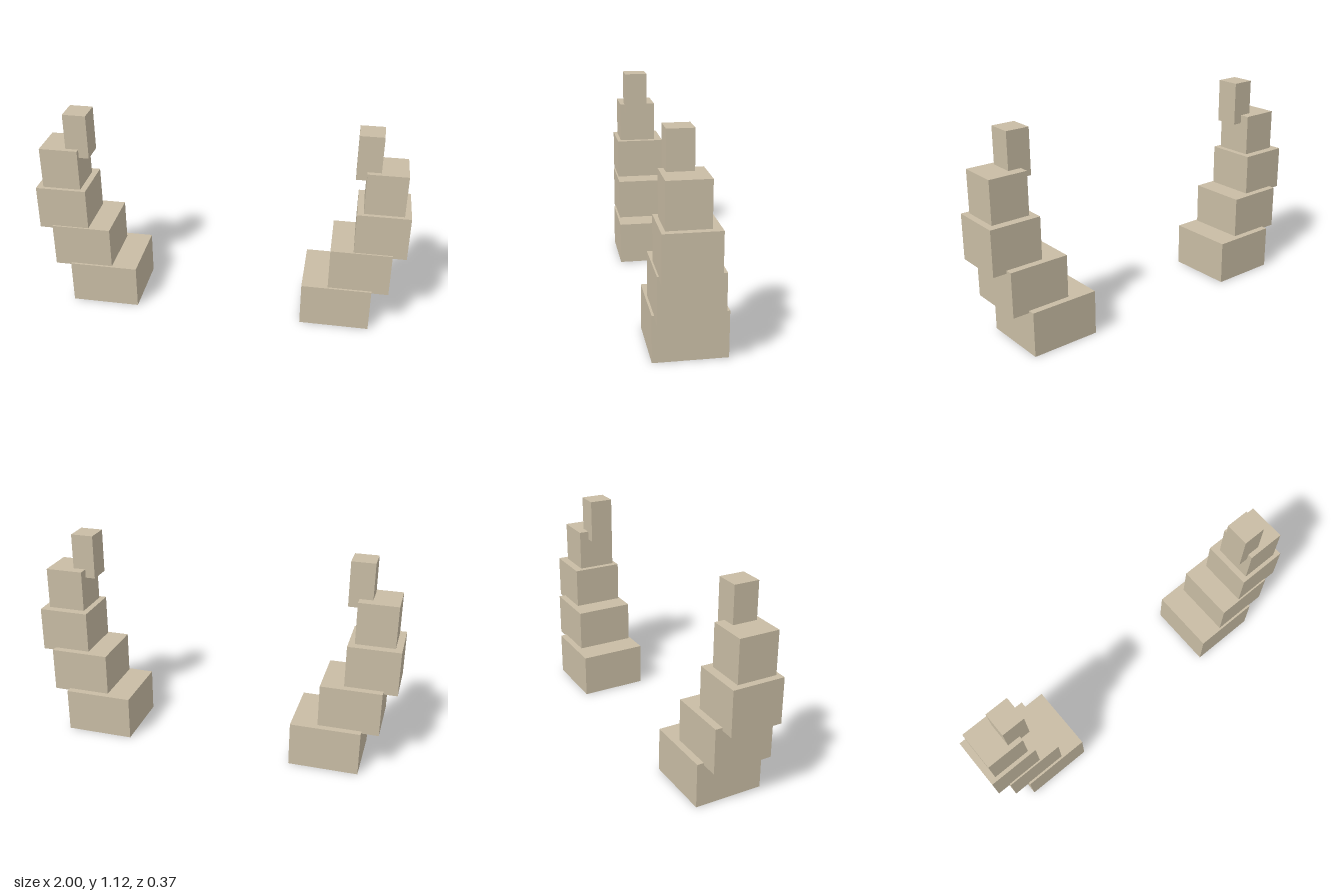
import * as THREE from 'three';

// Each block: x range, bottom y, z range (curving outward, then back in at the tip)
const BLOCKS = [
  { x: [0.462, 0.837], y: 0, z: [-0.186, 0.187] },
  { x: [0.603, 0.927], y: 0.231, z: [-0.149, 0.175] },
  { x: [0.724, 1.0], y: 0.458, z: [-0.111, 0.166] },
  { x: [0.757, 0.965], y: 0.685, z: [-0.066, 0.145] },
  { x: [0.702, 0.827], y: 0.88, z: [-0.012, 0.119] },
];
const BLOCK_HEIGHT = 0.243;

export function createModel() {
  const model = new THREE.Group();
  model.name = 'hornPair';
  const bone = new THREE.MeshStandardMaterial({ color: 0xc8bca4 });
  bone.name = 'bone';

  // One stepped horn per side, mirrored across x
  for (const [name, side] of [['leftHorn', 1], ['rightHorn', -1]]) {
    const horn = new THREE.Group();
    horn.name = name;
    BLOCKS.forEach(({ x, y, z }, i) => {
      const geometry = new THREE.BoxGeometry(x[1] - x[0], BLOCK_HEIGHT, z[1] - z[0]);
      const block = new THREE.Mesh(geometry, bone);
      block.name = i === BLOCKS.length - 1 ? 'hornTip' : `hornBlock${i + 1}`;
      block.position.set(side * (x[0] + x[1]) / 2, y + BLOCK_HEIGHT / 2, (z[0] + z[1]) / 2);
      horn.add(block);
    });
    model.add(horn);
  }
  return model;
}
